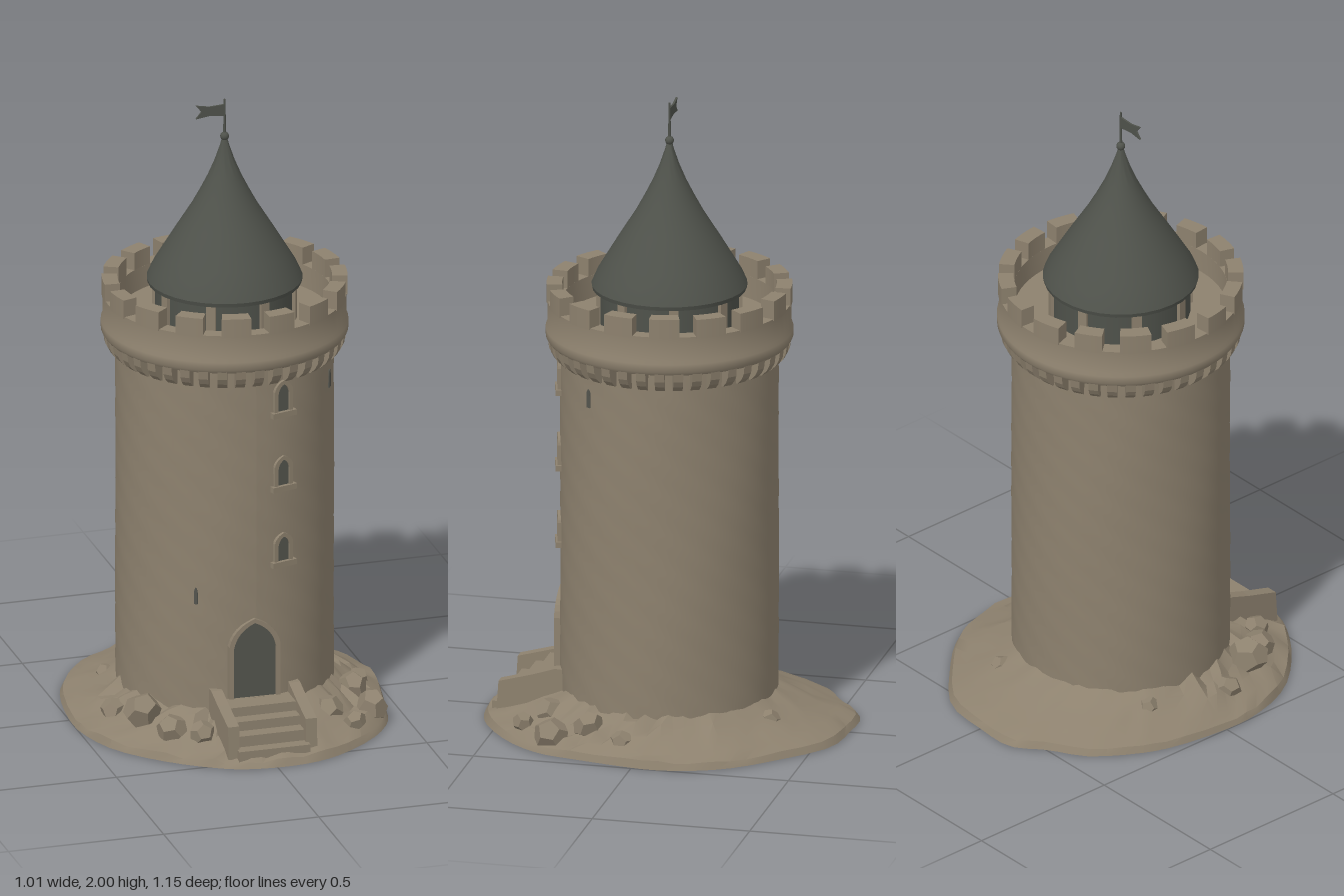
import * as THREE from 'three';
import { toCreasedNormals } from 'three/addons/utils/BufferGeometryUtils.js';

const mat = (name, color, side = THREE.FrontSide) => {
  const m = new THREE.MeshStandardMaterial({ color, side });
  m.name = name;
  return m;
};

export function createModel() {
  const stone = mat('stone', 0x8d816e);
  const slate = mat('dark slate', 0x4f524b, THREE.DoubleSide);
  const shade = mat('door grey', 0x53544d);
  const tower = new THREE.Group();
  tower.name = 'tower';

  let seed = 7;
  const rnd = () => (seed = (seed * 16807) % 2147483647) / 2147483647;
  const add = (name, geo, material, parent = tower) => {
    const mesh = new THREE.Mesh(geo, material);
    mesh.name = name;
    parent.add(mesh);
    return mesh;
  };
  const lathe = (pts, seg) => new THREE.LatheGeometry(pts.map(p => new THREE.Vector2(...p)), seg);
  const extrude = (shape, depth, curveSegments = 6) =>
    new THREE.ExtrudeGeometry(shape, { depth, bevelEnabled: false, curveSegments });

  // Rocky mound: rings blended from the wall foot out to an uneven outline
  const outline = new THREE.CatmullRomCurve3([
    [0, 0.57], [0.12, 0.56], [0.22, 0.52], [0.36, 0.41], [0.435, 0.3], [0.46, 0.2], [0.485, 0.08],
    [0.505, -0.07], [0.48, -0.2], [0.43, -0.3], [0.32, -0.42], [0.16, -0.55], [0, -0.573],
    [-0.14, -0.572], [-0.23, -0.5], [-0.34, -0.43], [-0.43, -0.3], [-0.47, -0.2], [-0.5, 0],
    [-0.495, 0.12], [-0.44, 0.28], [-0.32, 0.42], [-0.2, 0.51], [-0.12, 0.55],
  ].map(([x, z]) => new THREE.Vector3(x, 0, z)), true).getPoints(64);
  const rings = [[0, 0.125], [0.25, 0.09], [0.5, 0.06], [0.75, 0.04], [0.95, 0.02], [1, 0]];
  const pos = [], idx = [], N = 64;
  rings.forEach(([t, h], j) => {
    for (let i = 0; i < N; i++) {
      const p = outline[i], r = Math.hypot(p.x, p.z);
      const rough = p.z > -0.1 ? 0.045 : 0.018;
      const k = (0.32 + (r - 0.32) * t) / r;
      const y = j === 5 ? 0 : Math.max(0.01, h + (rnd() - 0.5) * rough * (1 - t * 0.7));
      pos.push(p.x * k, y, p.z * k);
      if (j) {
        const a = (j - 1) * N + i, b = (j - 1) * N + (i + 1) % N;
        idx.push(a, a + N, b, b, a + N, b + N);
      }
    }
  });
  pos.push(0, 0, 0);
  for (let i = 0; i < N; i++) idx.push(5 * N + i, 6 * N, 5 * N + (i + 1) % N);
  const mound = new THREE.BufferGeometry();
  mound.setAttribute('position', new THREE.Float32BufferAttribute(pos, 3));
  mound.setIndex(idx);
  add('mound', toCreasedNormals(mound, 0.55), stone);

  // Boulders at the foot: x, y, z, radius
  [[-0.335, 0.1, 0.23, 0.065], [-0.39, 0.06, 0.1, 0.045], [-0.27, 0.07, 0.33, 0.05], [-0.19, 0.07, 0.39, 0.04],
    [0.39, 0.05, 0.28, 0.055], [0.36, 0.08, 0.17, 0.05], [0.24, 0.07, 0.32, 0.05], [0.41, 0.05, 0.05, 0.04],
    [0.3, 0.05, 0.39, 0.04], [0.15, 0.07, -0.355, 0.035], [-0.1, 0.07, -0.36, 0.03], [-0.33, 0.07, -0.17, 0.035],
  ].forEach(([x, y, z, r]) => {
    const rock = add('boulder', new THREE.DodecahedronGeometry(r), stone);
    rock.position.set(x, y, z);
    rock.rotation.set(rnd() * 3, rnd() * 3, rnd() * 3);
    rock.scale.set(1, 0.8 + rnd() * 0.3, 0.9);
  });

  // Round wall with a slightly uneven surface
  const R = 0.337;
  const wallPts = [];
  for (let i = 0; i <= 30; i++) wallPts.push([R, i * 0.0415]);
  const wall = lathe(wallPts, 64), wp = wall.attributes.position;
  for (let i = 0; i < wp.count; i++) {
    const x = wp.getX(i), y = wp.getY(i), z = wp.getZ(i), a = Math.atan2(x, z);
    const k = 1 + 0.004 * Math.sin(a * 9 + y * 23) * Math.sin(y * 31 + a * 4);
    wp.setXYZ(i, x * k, y, z * k);
  }
  wall.computeVertexNormals();
  add('wall', wall, stone);

  // Parapet ring with the wall walk inside
  add('parapet', toCreasedNormals(lathe([
    [0.325, 1.235], [0.374, 1.238], [0.382, 1.25], [0.382, 1.275], [0.376, 1.285],
    [0.376, 1.362], [0.331, 1.362], [0.329, 1.29], [0.001, 1.29],
  ], 64), 0.6), stone);

  // Merlons
  const merlons = 16;
  for (let i = 0; i < merlons; i++) {
    const half = (0.62 + (rnd() - 0.5) * 0.08) * Math.PI / merlons;
    const s = new THREE.Shape();
    s.absarc(0, 0, 0.379, -half, half, false);
    s.absarc(0, 0, 0.331, half, -half, true);
    const m = add('merlon', extrude(s, 0.06 + rnd() * 0.004).rotateX(-Math.PI / 2), stone);
    m.position.y = 1.357;
    m.rotation.y = (i + 0.5) / merlons * Math.PI * 2;
  }

  // Corbels under the parapet
  const cs = new THREE.Shape([[0.32, 1.175], [0.343, 1.178], [0.362, 1.196], [0.372, 1.215], [0.376, 1.243], [0.32, 1.243]]
    .map(p => new THREE.Vector2(...p)));
  const corbelGeo = extrude(cs, 0.03).translate(0, 0, -0.015);
  for (let i = 0; i < 40; i++) add('corbel', corbelGeo, stone).rotation.y = i / 40 * Math.PI * 2;

  // Pointed arch outline used by the door and windows
  const arch = (w, h, Type = THREE.Shape) => {
    const s = new Type();
    s.moveTo(-w, 0);
    s.lineTo(w, 0);
    s.lineTo(w, h * 0.66);
    s.quadraticCurveTo(w * 0.85, h * 0.9, 0, h);
    s.quadraticCurveTo(-w * 0.85, h * 0.9, -w, h * 0.66);
    return s;
  };
  const opening = (name, angle, y, w, h, rim, proud) => {
    const g = new THREE.Group();
    g.name = name;
    g.position.y = y;
    g.rotation.y = angle;
    tower.add(g);
    add(name + 'Panel', extrude(arch(w, h), 0.006).translate(0, 0, R - 0.003), shade, g);
    if (rim) {
      const f = arch(w + rim, h + rim);
      f.holes.push(arch(w, h, THREE.Path));
      add(name + 'Frame', extrude(f, 0.03).translate(0, 0, R - 0.03 + proud), stone, g);
    }
    return g;
  };
  opening('door', -0.02, 0.15, 0.068, 0.245, 0.014, 0.01);
  [[0.585, 0.08], [0.835, 0.085], [1.08, 0.09]].forEach(([y, h]) => {
    const g = opening('window', 0.265, y, 0.02, h, 0.013, 0.009);
    add('windowSill', new THREE.BoxGeometry(0.085, 0.018, 0.04), stone, g).position.set(0, -0.008, R - 0.005);
  });
  opening('arrowSlit', 0.98, 1.085, 0.008, 0.06, 0, 0);
  opening('arrowSlit', -0.56, 0.455, 0.006, 0.055, 0, 0);

  // Entrance steps between sloping side walls
  [[0.405, 0.145], [0.45, 0.115], [0.495, 0.085], [0.535, 0.05]].forEach(([z, y]) => {
    add('step', new THREE.BoxGeometry(0.23, y, z - 0.3), stone).position.set(0, y / 2, (z + 0.3) / 2);
  });
  const side = new THREE.Shape([[0.3, 0.02], [0.515, 0.02], [0.508, 0.125], [0.4, 0.155], [0.33, 0.178], [0.3, 0.178]]
    .map(p => new THREE.Vector2(...p)));
  for (const x of [-0.125, 0.125]) {
    add('stairWall', extrude(side, 0.036).translate(0, 0, -0.018).rotateY(-Math.PI / 2), stone).position.x = x;
  }

  // Turret drum with small slits beneath the roof
  add('turretDrum', new THREE.CylinderGeometry(0.215, 0.215, 0.13, 32, 1, true), slate).position.y = 1.35;
  for (let i = 0; i < 8; i++) {
    const post = add('turretPost', new THREE.BoxGeometry(0.03, 0.12, 0.02), stone);
    const a = i / 8 * Math.PI * 2 + 0.3;
    post.position.set(Math.sin(a) * 0.215, 1.345, Math.cos(a) * 0.215);
    post.rotation.y = a;
  }

  // Flared conical roof, finial, pole and swallowtail flag
  add('roof', toCreasedNormals(lathe([
    [0.2, 1.4], [0.238, 1.402], [0.241, 1.415], [0.226, 1.45], [0.196, 1.5], [0.166, 1.55], [0.135, 1.6],
    [0.104, 1.65], [0.077, 1.7], [0.052, 1.75], [0.031, 1.8], [0.014, 1.85], [0.006, 1.88],
  ], 32), 0.6), slate);
  add('finial', new THREE.SphereGeometry(0.014, 12, 8), slate).position.y = 1.878;
  add('pole', new THREE.CylinderGeometry(0.003, 0.005, 0.13, 8), slate).position.y = 1.935;
  const flag = new THREE.Shape([[0, 1.945], [0, 1.983], [-0.05, 1.98], [-0.093, 1.988], [-0.075, 1.966], [-0.093, 1.944], [-0.05, 1.95]]
    .map(p => new THREE.Vector2(...p)));
  add('flag', extrude(flag, 0.006).translate(0, 0, -0.003), slate);

  return tower;
}
